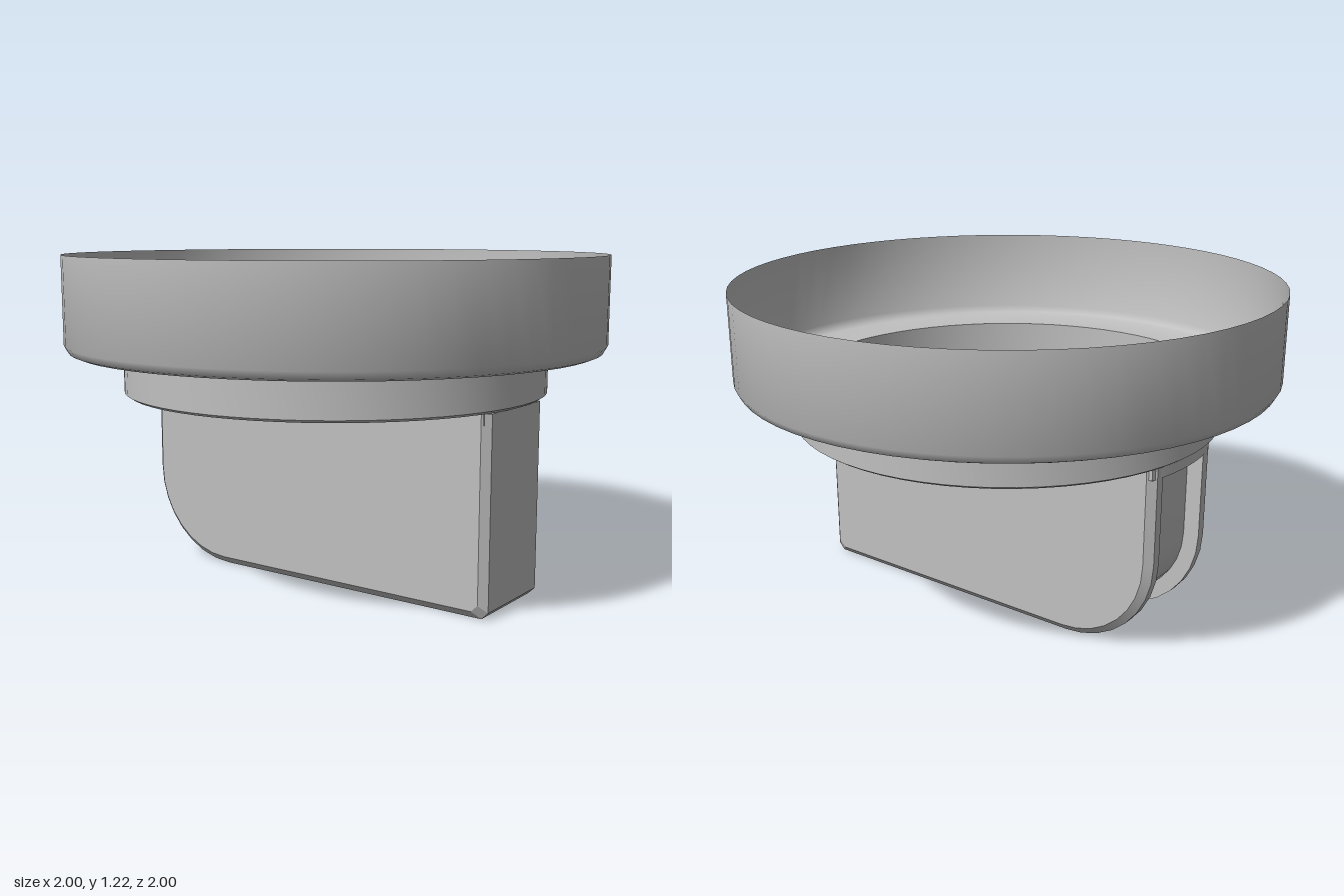
import * as THREE from 'three';
import { toCreasedNormals } from 'three/addons/utils/BufferGeometryUtils.js';

const grey = new THREE.MeshStandardMaterial({ color: 0xc0c0c0, side: THREE.DoubleSide });
grey.name = 'light grey';

const V2 = (x, y) => new THREE.Vector2(x, y);

// Skin a surface over rows of points
function loft(rows) {
  const n = rows[0].length, index = [];
  for (let r = 0; r < rows.length - 1; r++) {
    for (let i = 0; i < n - 1; i++) {
      const a = r * n + i, b = a + n;
      index.push(a, b, a + 1, b, b + 1, a + 1);
    }
  }
  const geo = new THREE.BufferGeometry();
  geo.setAttribute('position', new THREE.Float32BufferAttribute(rows.flat(2), 3));
  geo.setIndex(index);
  geo.computeVertexNormals();
  return toCreasedNormals(geo, 0.45);
}

// Outline of the grip, moved inwards by d: one rounded and one bevelled corner
function gripOutline(d) {
  const right = 0.765 - d, pts = [V2(-0.755 + d, 0.71)];
  for (let i = 0; i <= 8; i++) {
    const a = Math.PI + (i / 8) * Math.PI / 2;
    pts.push(V2(-0.4 + (0.355 - d) * Math.cos(a), 0.355 + (0.355 - d) * Math.sin(a)));
  }
  pts.push(V2(right - 0.025, d), V2(right, d + 0.025), V2(right, 0.71));
  return pts;
}

export function createModel() {
  const group = new THREE.Group();
  const add = (name, geo) => {
    const mesh = new THREE.Mesh(geo, grey);
    mesh.name = name;
    group.add(mesh);
    return mesh;
  };

  // Thin open cup stepping down to a narrower ring
  const profile = [
    [0.775, 0.71], [0.79, 0.72], [0.79, 0.866], [0.965, 0.866],
    [0.985, 0.874], [1, 0.9], [1, 1.22],
  ].map(([x, y]) => V2(x, y));
  add('cup', toCreasedNormals(new THREE.LatheGeometry(profile, 64), 0.7));

  // Recess outline: straight on three sides, bowed on the right-hand end
  const recess = [V2(0.745, -0.195), V2(0.745, 0.195)];
  const sweep = Math.asin(0.195 / 0.771);
  for (let i = 0; i <= 8; i++) {
    const a = Math.PI - sweep + (i / 8) * 2 * sweep;
    recess.push(V2(0.771 * Math.cos(a), 0.771 * Math.sin(a)));
  }

  // Floor with the shallow recess cut into it
  const disc = new THREE.Shape().absarc(0, 0, 0.775, 0, Math.PI * 2);
  disc.holes.push(new THREE.Path(recess));
  add('floor', new THREE.ShapeGeometry(disc, 32).rotateX(Math.PI / 2)).position.y = 0.71;
  add('recessFloor', new THREE.ShapeGeometry(new THREE.Shape(recess)).rotateX(Math.PI / 2)).position.y = 0.67;
  const ring = [...recess, recess[0]];
  add('recessWall', loft([0.71, 0.67].map(y => ring.map(p => [p.x, y, p.y]))));

  // Grip rim: bevelled edges with a groove between two lips
  const section = [
    [0.2, 0.028], [0.175, 0], [0.14, 0], [0.14, 0.06],
    [-0.14, 0.06], [-0.14, 0], [-0.175, 0], [-0.2, 0.028],
  ];
  add('gripRim', loft(section.map(([z, d]) => gripOutline(d).map(p => [p.x, p.y, z]))));

  // Flat sides of the grip
  const side = new THREE.ShapeGeometry(new THREE.Shape(gripOutline(0.028)));
  add('gripFront', side).position.z = 0.2;
  const back = add('gripBack', side.clone().rotateY(Math.PI));
  back.position.z = -0.2;
  back.scale.x = -1;

  // Closed square end of the grip
  const end = new THREE.Shape([
    V2(0.69, 0), V2(0.74, 0), V2(0.765, 0.025), V2(0.765, 0.71), V2(0.69, 0.71),
  ]);
  add('gripEnd', new THREE.ExtrudeGeometry(end, { depth: 0.28, bevelEnabled: false })).position.z = -0.14;

  return group;
}
